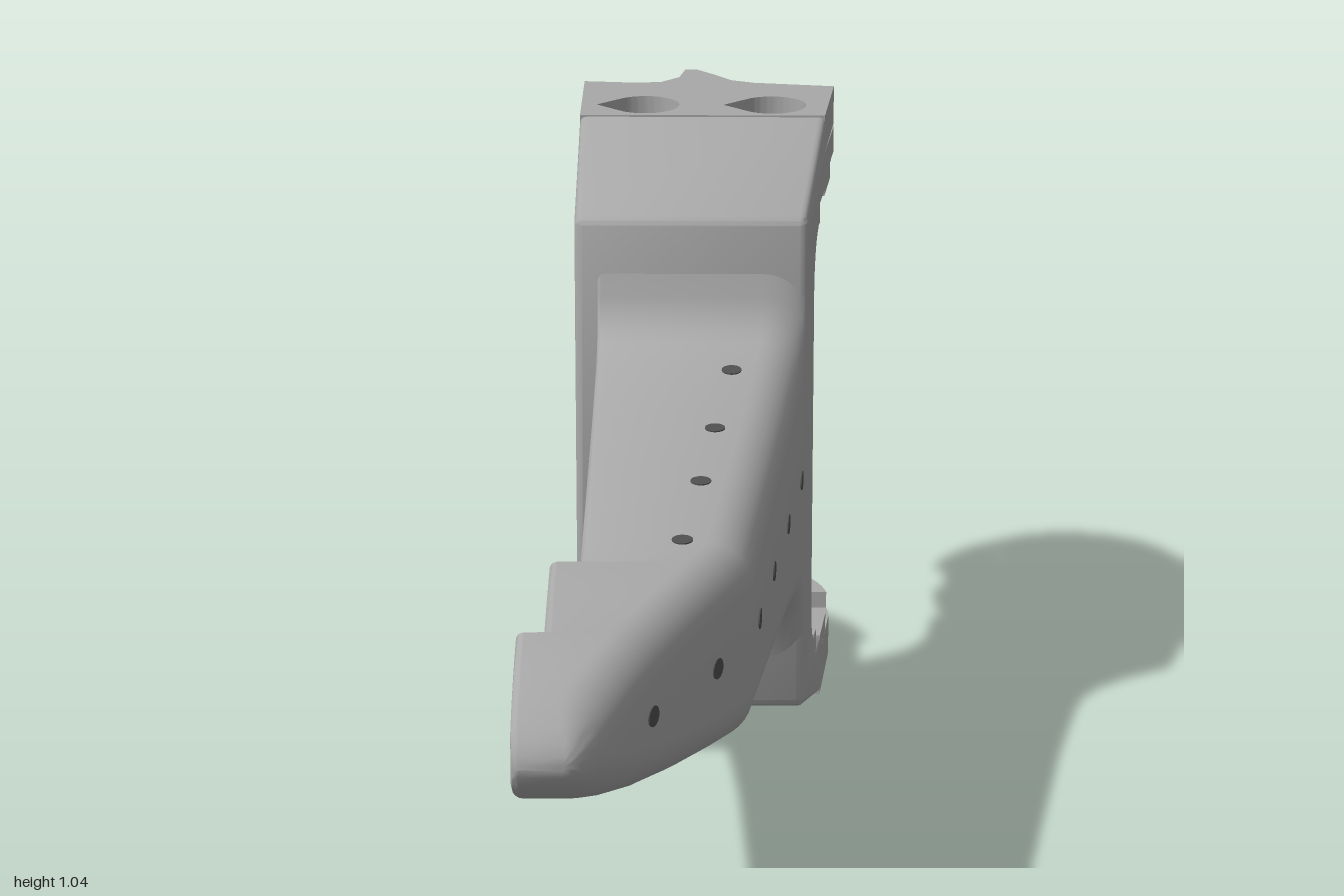
import * as THREE from 'three';
import { toCreasedNormals } from 'three/addons/utils/BufferGeometryUtils.js';

const MID = 0.5225;
// slanted right flank of the whole part
const flank = z => 0.24 - 0.1077 * (z + 0.8);

const grey = new THREE.MeshStandardMaterial({ color: 0xa8a8a8 });
grey.name = 'bodyGrey';
const dark = new THREE.MeshStandardMaterial({ color: 0x505050 });
dark.name = 'holeGrey';

// handle stations: z, left x, right x, half height
const S = [
  [-0.315, -0.155, flank(-0.315), 0.36], [-0.305, -0.155, flank(-0.305), 0.335],
  [-0.298, -0.155, flank(-0.298), 0.297], [-0.286, -0.155, flank(-0.286), 0.272],
  [-0.27, -0.155, flank(-0.27), 0.251], [-0.245, -0.155, flank(-0.245), 0.235],
  [-0.2, -0.155, flank(-0.2), 0.222], [-0.1, -0.155, flank(-0.1), 0.207],
  [0, -0.155, flank(0), 0.195], [0.2, -0.155, flank(0.2), 0.18],
  [0.4, -0.155, flank(0.4), 0.165], [0.5, -0.155, 0.1, 0.157],
  [0.565, -0.155, 0.07, 0.151], [0.567, -0.2, 0.069, 0.151],
  [0.68, -0.2, 0.015, 0.138], [0.78, -0.2, -0.033, 0.121],
  [0.782, -0.24, -0.034, 0.121], [0.85, -0.24, -0.067, 0.104],
  [0.9, -0.24, -0.09, 0.087], [0.94, -0.24, -0.11, 0.068],
  [0.97, -0.24, -0.127, 0.048], [0.987, -0.238, -0.14, 0.031],
  [0.996, -0.234, -0.152, 0.016], [1, -0.228, -0.165, 0.004],
];

function station(z) {
  let i = 1;
  while (i < S.length - 1 && S[i][0] < z) i++;
  const a = S[i - 1], b = S[i], t = (z - a[0]) / (b[0] - a[0]);
  return { l: a[1] + t * (b[1] - a[1]), r: a[2] + t * (b[2] - a[2]), h: a[3] + t * (b[3] - a[3]),
    slopeR: (b[2] - a[2]) / (b[0] - a[0]), slopeH: (b[3] - a[3]) / (b[0] - a[0]) };
}

// lofted handle: soft corners on the right, tight corners on the left
function handleGeometry() {
  const pos = [], idx = [], K = 8, N = 4 * (K + 1);
  for (const [z, l, r, h] of S) {
    const big = Math.min(0.07, h * 0.9, (r - l) * 0.6), small = Math.min(0.012, h * 0.5);
    const corners = [[1, -1, big], [1, 1, big], [-1, 1, small], [-1, -1, small]];
    corners.forEach(([sx, sy, rad], c) => {
      for (let k = 0; k <= K; k++) {
        const a = (c - 1 + k / K) * Math.PI / 2;
        pos.push((sx > 0 ? r - rad : l + rad) + rad * Math.cos(a),
          MID + sy * (h - rad) + rad * Math.sin(a), z);
      }
    });
  }
  for (let i = 0; i < S.length - 1; i++) for (let j = 0; j < N; j++) {
    const a = i * N + j, b = i * N + (j + 1) % N;
    idx.push(a, b, b + N, a, b + N, a + N);
  }
  const e = (S.length - 1) * N;
  for (let j = 1; j < N - 1; j++) idx.push(e, e + j, e + j + 1);
  const g = new THREE.BufferGeometry();
  g.setAttribute('position', new THREE.Float32BufferAttribute(pos, 3));
  g.setIndex(idx);
  return toCreasedNormals(g, 0.6);
}

// C-shaped bracket, extruded across x and fitted to the slanted flank
function bracketGeometry() {
  const s = new THREE.Shape();
  s.moveTo(0.305, 0.11); s.lineTo(0.305, 0.935);
  s.quadraticCurveTo(0.306, 0.949, 0.325, 0.955);
  s.lineTo(0.62, 1.045); s.lineTo(0.62, 0.905);
  s.lineTo(0.54, 0.905); s.lineTo(0.54, 0.875);
  s.quadraticCurveTo(0.455, 0.87, 0.45, 0.785);
  s.lineTo(0.45, 0.235);
  s.quadraticCurveTo(0.455, 0.15, 0.54, 0.145);
  s.lineTo(0.54, 0.11); s.lineTo(0.62, 0.11); s.lineTo(0.62, 0);
  s.lineTo(0.325, 0.092);
  s.quadraticCurveTo(0.306, 0.097, 0.305, 0.11);
  const b = 0.012, d = 0.36;
  const g = new THREE.ExtrudeGeometry(s, { depth: d, bevelEnabled: true, bevelSize: b,
    bevelThickness: b, bevelOffset: -b, bevelSegments: 3, curveSegments: 10 });
  g.rotateY(Math.PI / 2);
  const p = g.attributes.position;
  for (let i = 0; i < p.count; i++) {
    const x = p.getX(i);
    p.setX(i, x > d / 2 ? x - d - b + flank(p.getZ(i)) : x + b - 0.193);
  }
  return toCreasedNormals(g, 0.6);
}

// plan outlines use (x, -z)
const outline = pts => new THREE.Shape(pts.map(([x, v]) => new THREE.Vector2(x, v)));

function teardrop(x, v, r) {
  const p = new THREE.Path();
  p.absarc(x, v, r, -0.75 * Math.PI, 0.75 * Math.PI, false);
  p.lineTo(x - r * 1.414, v);
  p.closePath();
  return p;
}

function roundHole(x, v, r) {
  const p = new THREE.Path();
  p.absarc(x, v, r, 0, Math.PI * 2, false);
  return p;
}

function plate(name, shape, y0, y1) {
  const g = new THREE.ExtrudeGeometry(shape, { depth: y1 - y0, bevelEnabled: false, curveSegments: 24 });
  g.rotateX(-Math.PI / 2).translate(0, y0, 0);
  const m = new THREE.Mesh(toCreasedNormals(g, 0.5), grey);
  m.name = name;
  return m;
}

const CX = 0.022, CV = 0.79, R = 0.215, HX = [-0.085, 0.13];

function discShape() {
  const s = new THREE.Shape();
  s.moveTo(-0.193, 0.61); s.lineTo(0.219, 0.61); s.lineTo(CX + R, CV);
  s.absarc(CX, CV, R, 0, Math.PI, false);
  s.closePath();
  for (const x of HX) s.holes.push(teardrop(x, 0.68, 0.036), roundHole(x, 0.89, 0.036));
  s.holes.push(roundHole(CX, CV, 0.03));
  return s;
}

// one mounting end: stacked layers from the outer face to the grooved inner face
function mountingEnd(name, outer, seat, mid, inner, pad, openCentre) {
  const g = new THREE.Group();
  g.name = name;
  const add = (n, shape, a, b) => g.add(plate(n, shape, Math.min(a, b), Math.max(a, b)));

  const cover = outline([[-0.193, 0.61], [0.219, 0.61], [0.237, 0.81], [0.1, 0.832], [0.06, 0.85],
    [0.03, 0.89], [0, 0.925], [-0.02, 0.925], [-0.03, 0.87], [-0.06, 0.837], [-0.1, 0.83], [-0.193, 0.84]]);
  for (const x of HX) cover.holes.push(teardrop(x, 0.68, 0.058));
  if (openCentre) cover.holes.push(roundHole(CX, CV, 0.03));
  add('outerPlate', cover, outer, seat);
  add('mountingDisc', discShape(), seat, mid);

  const front = outline([[-0.193, 0.61], [0.219, 0.61], [0.23, 0.722], [0.08, 0.722], [0.055, 0.75],
    [-0.01, 0.75], [-0.035, 0.722], [-0.193, 0.722]]);
  for (const x of HX) front.holes.push(teardrop(x, 0.68, 0.036));
  add('innerFrontPad', front, mid, inner);

  const a0 = Math.asin((0.83 - CV) / R);
  const rear = new THREE.Shape();
  rear.absarc(CX, CV, R, a0, Math.PI - a0, false);
  rear.lineTo(-0.05, 0.83);
  rear.quadraticCurveTo(CX, 0.95, 0.09, 0.83);
  rear.closePath();
  for (const x of HX) rear.holes.push(roundHole(x, 0.89, 0.036));
  add('innerRearPad', rear, mid, inner);

  add('stopRidge', outline([[-0.185, 0.52], [0.207, 0.52], [0.211, 0.55], [0.13, 0.56], [0.06, 0.61],
    [-0.03, 0.61], [-0.1, 0.58], [-0.185, 0.58]]), inner, pad);
  return g;
}

// small lacing hole drawn as a thin disc facing along a normal
function lacingHole(x, y, z, normal) {
  const m = new THREE.Mesh(new THREE.CylinderGeometry(0.016, 0.016, 0.004, 16), dark);
  m.name = 'lacingHole';
  m.position.set(x, y, z);
  m.quaternion.setFromUnitVectors(new THREE.Vector3(0, 1, 0), normal.normalize());
  return m;
}

export function createModel() {
  const model = new THREE.Group();
  model.name = 'forkBracket';

  const handle = new THREE.Mesh(handleGeometry(), grey);
  handle.name = 'handle';
  const bracket = new THREE.Mesh(bracketGeometry(), grey);
  bracket.name = 'bracket';
  model.add(handle, bracket);

  model.add(mountingEnd('upperMount', 1.045, 0.98, 0.935, 0.905, 0.875, false));
  model.add(mountingEnd('lowerMount', 0, 0.04, 0.08, 0.11, 0.145, true));

  // hole rows on both flanks
  const holes = new THREE.Group();
  holes.name = 'lacingHoles';
  for (const z of [0.8, 0.61, 0.4, 0.19, -0.03, -0.245]) {
    const s = station(z);
    holes.add(lacingHole(s.r, MID, z, new THREE.Vector3(1, 0, -s.slopeR)));
    holes.add(lacingHole(s.l, MID, z, new THREE.Vector3(-1, 0, 0)));
  }
  // hole rows on top and underside
  for (const [x, z] of [[0.065, -0.16], [0.04, 0.06], [0.02, 0.27], [-0.005, 0.49]]) {
    const s = station(z);
    for (const k of [1, -1]) {
      holes.add(lacingHole(x, MID + k * s.h, z, new THREE.Vector3(0, k, -s.slopeH)));
    }
  }
  model.add(holes);
  return model;
}
